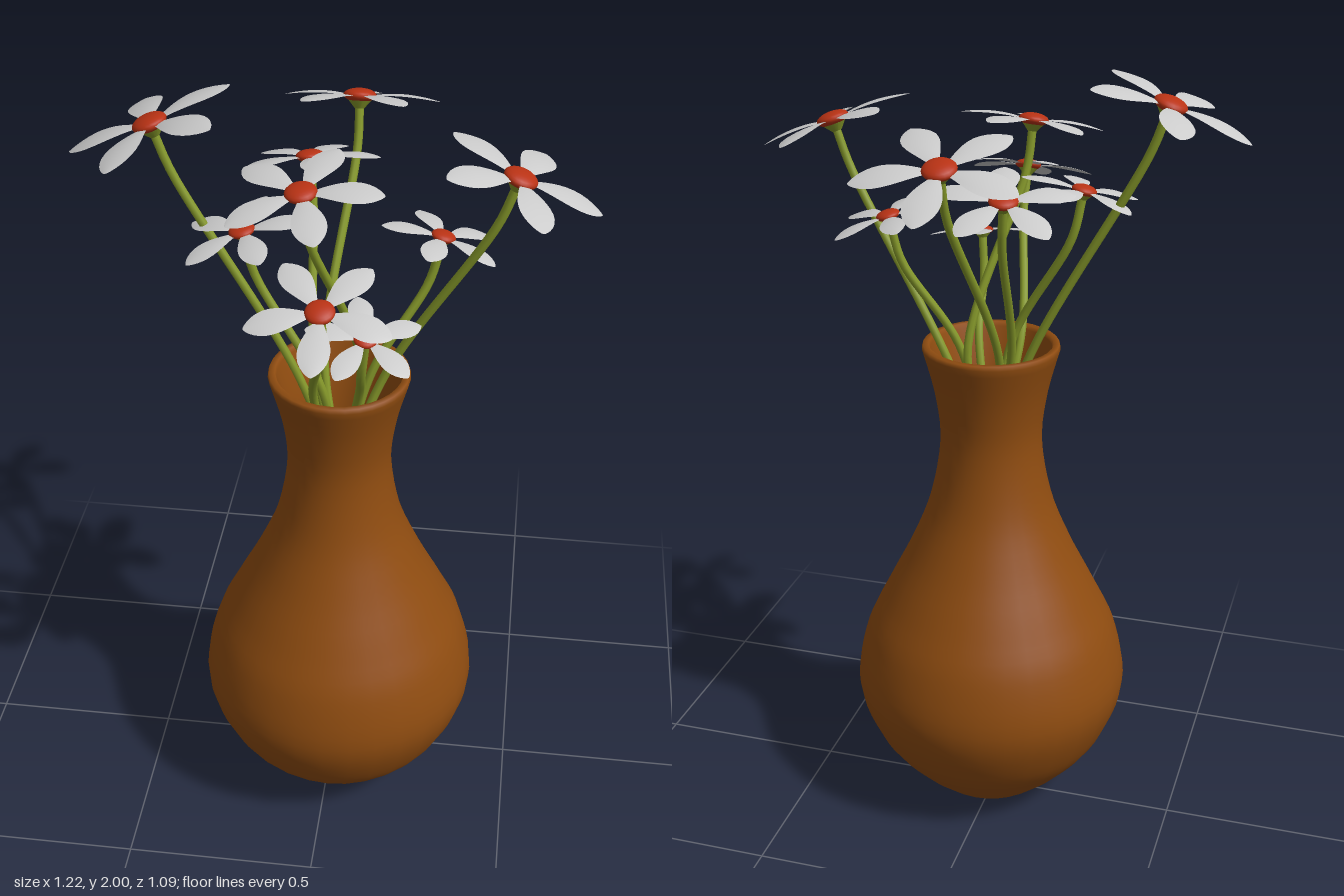
import * as THREE from 'three';

const mat = (color, side = THREE.FrontSide) =>
  new THREE.MeshStandardMaterial({ color, side });
const clay = mat(0x8f4c10, THREE.DoubleSide);
const green = mat(0x86992a);
const red = mat(0xb83214);
const white = mat(0xcccccc, THREE.DoubleSide);

const AXIS = { x: 0.02, z: 0.04 };
const UP = new THREE.Vector3(0, 1, 0);

// head [x, y, z], petal length, first petal angle, lean direction, lean amount (degrees), stem at rim [x, z]
const FLOWERS = [
  { head: [-0.41, 1.94, 0.04], size: 0.21, spin: 180, dir: 180, lean: 20, rim: [-0.09, 0.04] },
  { head: [0.425, 1.855, 0.04], size: 0.205, spin: 0, dir: 0, lean: 20, rim: [0.14, 0.0] },
  { head: [0.02, 1.855, -0.36], size: 0.205, spin: 270, dir: 270, lean: 20, rim: [-0.03, -0.06] },
  { head: [0.02, 1.685, 0.385], size: 0.17, spin: 90, dir: 90, lean: 20, rim: [-0.03, 0.15] },
  { head: [-0.05, 1.855, 0.17], size: 0.188, spin: 2, dir: 119, lean: 11, rim: [0.07, 0.0] },
  { head: [-0.2, 1.71, 0.09], size: 0.158, spin: 138, dir: 160, lean: 13, rim: [-0.02, 0.1] },
  { head: [-0.085, 1.755, -0.22], size: 0.175, spin: 3, dir: 249, lean: 15, rim: [-0.05, -0.02] },
  { head: [0.255, 1.65, -0.05], size: 0.15, spin: 28, dir: 338, lean: 15, rim: [0.1, 0.02] },
  { head: [0.105, 1.54, 0.25], size: 0.142, spin: 40, dir: 67, lean: 15, rim: [0.08, 0.13] },
];

// Turned vase: smooth outside, rounded lip, then the hollow inside
function makeVase() {
  const outside = new THREE.SplineCurve([
    [0.13, 0], [0.165, 0.025], [0.245, 0.1], [0.32, 0.2], [0.366, 0.34], [0.34, 0.49],
    [0.285, 0.61], [0.215, 0.75], [0.16, 0.89], [0.133, 1.05], [0.145, 1.18], [0.177, 1.305],
  ].map(([r, y]) => new THREE.Vector2(r, y))).getPoints(48);
  const inside = outside.slice(2).reverse()
    .map((p) => new THREE.Vector2(p.x - 0.022, Math.max(p.y, 0.03)));
  const profile = [
    new THREE.Vector2(0, 0), ...outside,
    new THREE.Vector2(0.174, 1.316), new THREE.Vector2(0.159, 1.316),
    ...inside, new THREE.Vector2(0, 0.03),
  ];
  const vase = new THREE.Mesh(new THREE.LatheGeometry(profile, 32), clay);
  vase.name = 'vase';
  vase.position.set(AXIS.x, 0, AXIS.z);
  return vase;
}

// Unit petal along +x: narrow base, rounded tip, gently arched
function makePetalGeometry() {
  const geo = new THREE.PlaneGeometry(1, 1, 16, 6).rotateX(-Math.PI / 2);
  const p = geo.attributes.position;
  for (let i = 0; i < p.count; i++) {
    const t = p.getX(i) + 0.5;
    const across = p.getZ(i) * 2;
    const s = 0.08 + 0.92 * (1 - Math.cos(Math.PI * t)) / 2;
    const half = 0.21 * Math.pow(Math.max(0, Math.sin(Math.PI * Math.pow(s, 1.6))), 0.7);
    const y = 0.25 * s - 0.27 * s * s - 0.02 * across * across * half / 0.21;
    p.setXYZ(i, s, y, across * half);
  }
  geo.computeVertexNormals();
  return geo;
}

function makeFlower({ head, size, spin, dir, lean, rim }, petalGeo) {
  const flower = new THREE.Group();
  flower.name = 'flower';
  const rad = THREE.MathUtils.degToRad;
  const a = rad(dir), t = rad(lean);
  const normal = new THREE.Vector3(Math.sin(t) * Math.cos(a), Math.cos(t), Math.sin(t) * Math.sin(a));
  const top = new THREE.Vector3(...head);

  // Flower head, leaning along its normal
  const blossom = new THREE.Group();
  blossom.name = 'blossom';
  blossom.position.copy(top);
  blossom.quaternion.setFromUnitVectors(UP, normal);
  blossom.scale.setScalar(size);
  for (let i = 0; i < 5; i++) {
    const petal = new THREE.Mesh(petalGeo, white);
    petal.name = 'petal';
    petal.rotation.y = -rad(spin + i * 72);
    blossom.add(petal);
  }
  const center = new THREE.Mesh(new THREE.SphereGeometry(0.2, 20, 12), red);
  center.name = 'flowerCenter';
  center.scale.y = 0.42;
  center.position.y = 0.035;
  const calyx = new THREE.Mesh(new THREE.CylinderGeometry(0.17, 0.06, 0.13, 16), green);
  calyx.name = 'calyx';
  calyx.position.y = -0.055;
  blossom.add(center, calyx);

  // Stem bending from the head through the mouth of the vase
  const path = new THREE.CatmullRomCurve3([
    top.clone().addScaledVector(normal, -0.01),
    top.clone().addScaledVector(normal, -0.12),
    new THREE.Vector3(rim[0], 1.31, rim[1]),
    new THREE.Vector3(AXIS.x + (rim[0] - AXIS.x) * 0.2, 1.05, AXIS.z + (rim[1] - AXIS.z) * 0.2),
    new THREE.Vector3(AXIS.x - (rim[0] - AXIS.x) * 0.6, 0.7, AXIS.z - (rim[1] - AXIS.z) * 0.6),
  ]);
  const stem = new THREE.Mesh(new THREE.TubeGeometry(path, 40, 0.011, 8), green);
  stem.name = 'stem';

  flower.add(blossom, stem);
  return flower;
}

export function createModel() {
  const model = new THREE.Group();
  model.name = 'vaseOfFlowers';
  model.add(makeVase());
  const petalGeo = makePetalGeometry();
  for (const spec of FLOWERS) model.add(makeFlower(spec, petalGeo));
  return model;
}
